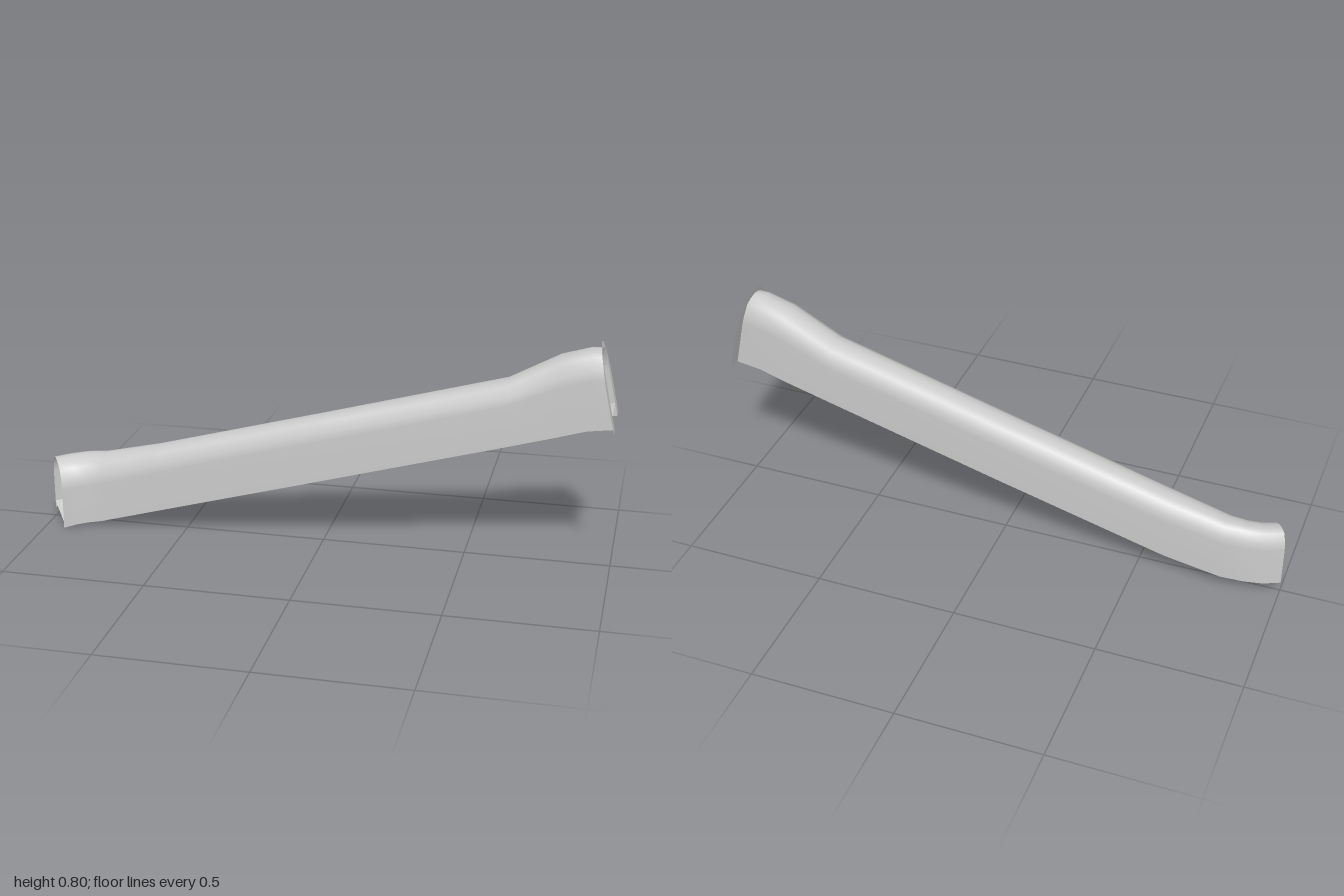
import * as THREE from 'three';

const material = new THREE.MeshStandardMaterial({ color: 0xcccccc, side: THREE.DoubleSide });

// Skins a list of equally long rows of points with a smooth surface.
function loft(name, rows) {
  const n = rows[0].length, index = [];
  for (let i = 0; i < rows.length - 1; i++) {
    for (let j = 0; j < n - 1; j++) {
      const a = i * n + j, b = a + n;
      index.push(a, b, a + 1, b, b + 1, a + 1);
    }
  }
  const geometry = new THREE.BufferGeometry().setFromPoints(rows.flat());
  geometry.setIndex(index);
  geometry.computeVertexNormals();
  const mesh = new THREE.Mesh(geometry, material);
  mesh.name = name;
  return mesh;
}

// Mirrors half an arch, listed from the foot of the wall up to the crown.
const mirrorArch = (half) => [...half, ...half.slice(0, -1).reverse().map(([s, t]) => [-s, t])];

// Arch section: side as a share of the half width, height as a share of the crown.
const arch = mirrorArch([[1, 0], [1, 0.64], [0.93, 0.77], [0.72, 0.93], [0.4, 0.975], [0, 1]]);

// Stations along the passage: front foot, back foot, crown height, floor lift.
const stations = [
  [[-0.93, 0.003, 0.105], [-1, 0.036, 0], 0.222, 0.024],
  [[-0.89, 0.01, 0.082], [-0.945, 0.042, -0.033], 0.222, 0.024],
  [[-0.85, 0.017, 0.071], [-0.88, 0.049, -0.054], 0.222, 0.025],
  [[-0.8, 0.026, 0.068], [-0.8, 0.053, -0.062], 0.222, 0.025],
  [[-0.6, 0.082, 0.067], [-0.6, 0.09, -0.065], 0.225, 0.028],
  [[0, 0.25, 0.067], [0, 0.252, -0.068], 0.225, 0.034],
  [[0.63, 0.428, 0.069], [0.63, 0.428, -0.071], 0.223, 0.04],
  [[0.8, 0.478, 0.072], [0.8, 0.478, -0.074], 0.267, 0.042],
  [[0.9, 0.508, 0.071], [0.9, 0.508, -0.072], 0.267, 0.044],
  [[0.99, 0.52, 0.07], [0.99, 0.52, -0.07], 0.255, 0.045],
];
const mouthTilt = 0.222; // the upper mouth leans back

export function createModel() {
  const group = new THREE.Group();
  group.name = 'coveredPassage';
  const shellRows = [], floorRows = [];

  stations.forEach(([front, back, height, lift], i) => {
    const f = new THREE.Vector3(...front), b = new THREE.Vector3(...back);
    const tilt = i === stations.length - 1 ? mouthTilt : 0;
    shellRows.push(arch.map(([s, t]) => {
      const p = b.clone().lerp(f, (s + 1) / 2);
      return p.add(new THREE.Vector3(-tilt * t * height, t * height, 0));
    }));
    const up = new THREE.Vector3(-tilt * lift, lift, 0);
    floorRows.push([f.add(up), b.add(up)]);
  });

  // Arched walls and roof, open underneath and at both ends
  group.add(loft('archedShell', shellRows));

  // Sloping floor set slightly above the foot of the walls
  group.add(loft('floor', floorRows));

  // Flat collar around the upper mouth
  const collar = mirrorArch([[0.119, 0], [0.119, 0.155], [0.1, 0.195], [0.052, 0.26], [0.026, 0.271], [0, 0.281]]);
  const outer = collar.map(([z, y]) => new THREE.Vector3(0.99 - mouthTilt * y, 0.52 + y, z));
  group.add(loft('mouthCollar', [shellRows.at(-1), outer]));

  return group;
}
